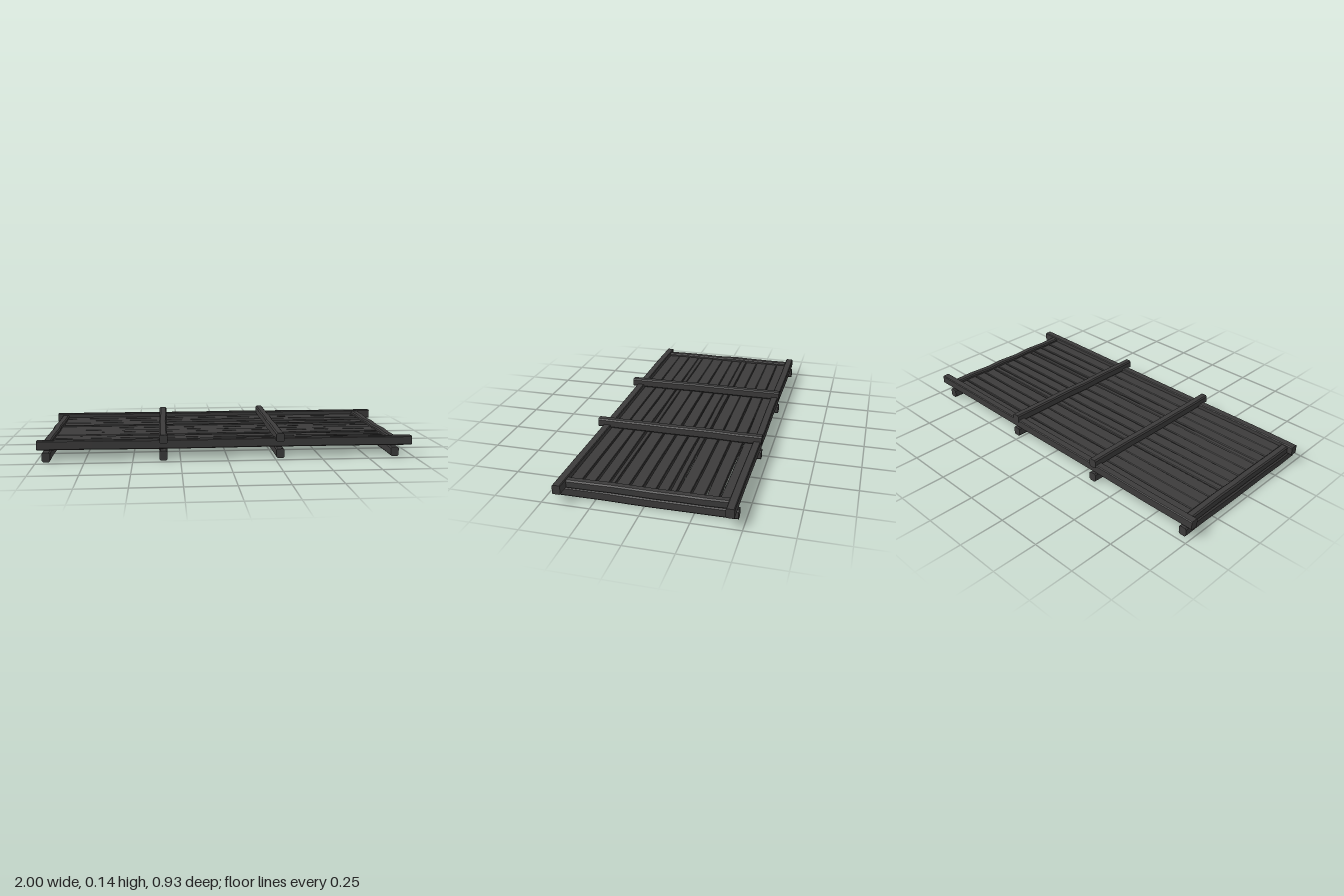
import * as THREE from 'three';

const wood = new THREE.MeshStandardMaterial({ color: 0x3c3b3b, flatShading: true });

// Repeatable value in -1..1
function wobble(n) {
  const s = Math.sin(n * 127.1 + 11.7) * 43758.5453;
  return 2 * (s - Math.floor(s)) - 1;
}

// Chamfered timber running along z, slightly warped ring by ring; taper narrows the far end
function timber(name, w, h, length, seed, { chamfer = 0.007, warp = 0.003, taper = 0 } = {}) {
  const a = w / 2, b = h / 2, c = chamfer;
  const section = new THREE.Shape([
    [-a + c, -b], [a - c, -b], [a, -b + c], [a, b - c],
    [a - c, b], [-a + c, b], [-a, b - c], [-a, -b + c],
  ].map(([x, y]) => new THREE.Vector2(x, y)));
  const steps = 7;
  const geo = new THREE.ExtrudeGeometry(section, { depth: length, steps, bevelEnabled: false });
  const p = geo.attributes.position;
  for (let i = 0; i < p.count; i++) {
    const t = p.getZ(i) / length, ring = Math.round(t * steps);
    const scale = 1 - taper * t;
    p.setX(i, p.getX(i) * scale + wobble(seed * 17 + ring) * warp);
    p.setY(i, p.getY(i) + wobble(seed * 31 + ring + 90) * warp * 0.7);
  }
  geo.translate(0, 0, -length / 2);
  geo.computeVertexNormals();
  const mesh = new THREE.Mesh(geo, wood);
  mesh.name = name;
  return mesh;
}

export function createModel() {
  const model = new THREE.Group();
  model.name = 'timberPlatform';
  const add = (mesh, x, y, z, alongX = false) => {
    mesh.position.set(x, y, z);
    if (alongX) mesh.rotation.y = Math.PI / 2;
    model.add(mesh);
  };
  const beamX = [-0.95, -0.34, 0.28, 0.9];

  // Bearers underneath
  beamX.forEach((x, i) =>
    add(timber('bottomBeam', 0.043, 0.05, 0.93, i + 1, { warp: 0.002 }), x, 0.028, 0));

  // Clamping beams across the top of the deck
  beamX.slice(1, 3).forEach((x, i) =>
    add(timber('topBeam', 0.043, 0.048, 0.93, i + 6, { warp: 0.002 }), x, 0.114, 0));

  // End beams set between the rails
  [beamX[0], beamX[3] + 0.007].forEach((x, i) =>
    add(timber('endBeam', 0.042, 0.045, 0.815, i + 9), x, 0.078, -0.012));

  // Long side rails
  [-0.44, 0.415].forEach((z, i) =>
    add(timber('sideRail', 0.042, 0.049, 2, i + 13, { chamfer: 0.004, warp: 0.002 }), 0, 0.083, z, true));

  // Deck planks between the gap lines, tapering toward +x so the gaps widen
  const gaps = [-0.428, -0.363, -0.294, -0.224, -0.152, -0.115, -0.053,
    0.016, 0.085, 0.16, 0.19, 0.257, 0.326, 0.398];
  for (let i = 0; i < gaps.length - 1; i++) {
    const width = gaps[i + 1] - gaps[i];
    const plank = timber('deckPlank', width - 0.001, 0.026, 1.86, i + 20,
      { chamfer: 0.003, warp: 0.0018, taper: 0.008 / width });
    add(plank, -0.02, 0.07 + 0.002 * wobble(i), (gaps[i] + gaps[i + 1]) / 2, true);
  }
  return model;
}
